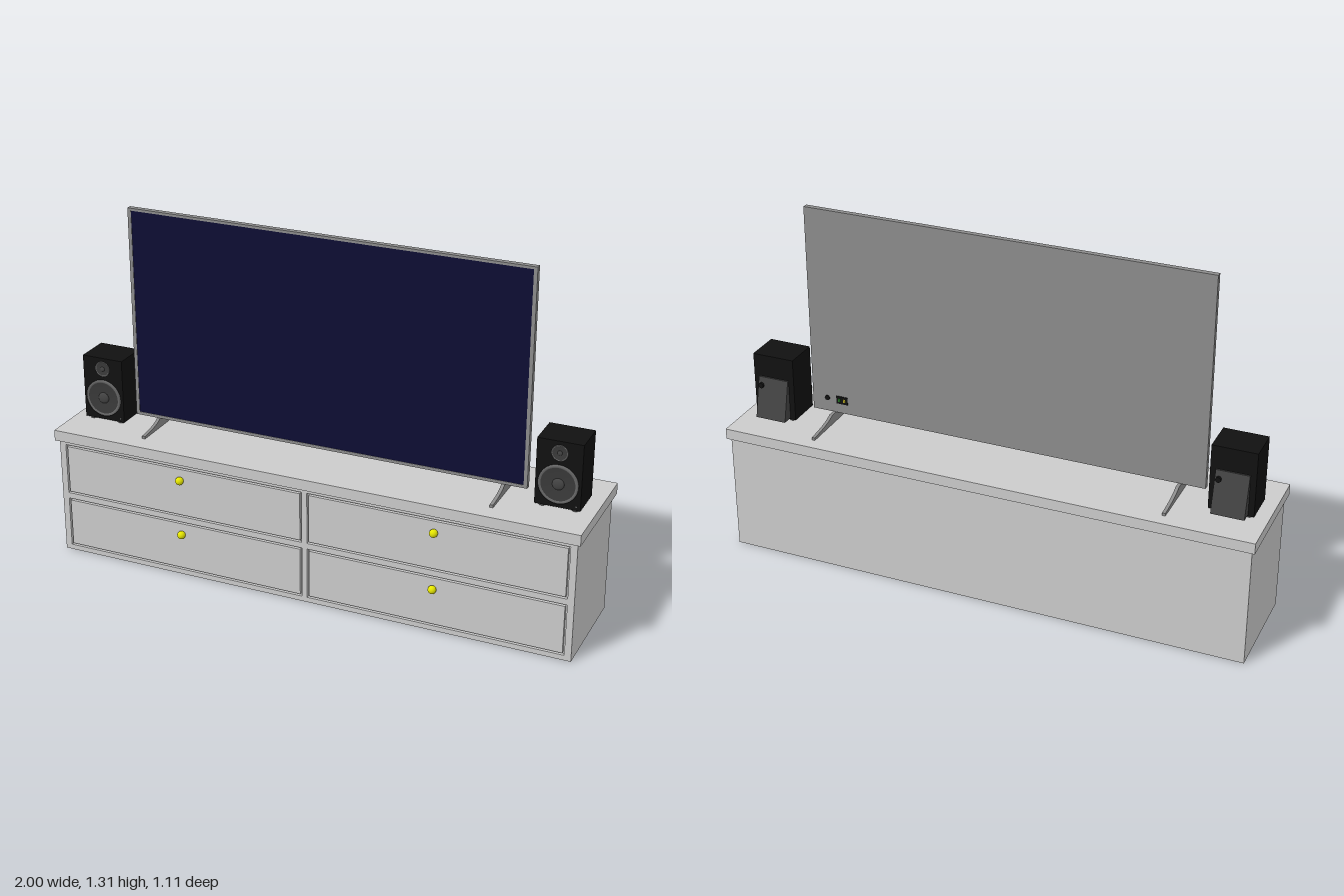
import * as THREE from 'three';

const mat = (color, side = THREE.FrontSide) => new THREE.MeshStandardMaterial({ color, side });

export function createModel() {
  const root = new THREE.Group();
  root.name = 'mediaCabinet';
  root.rotation.y = THREE.MathUtils.degToRad(21.4);

  const grey = mat(0xcccccc), darkGrey = mat(0x8c8c8c), black = mat(0x111111);
  const yellow = mat(0xe6e600), navy = mat(0x0d0d33), charcoal = mat(0x444444);
  const cone = mat(0x3a3a3a, THREE.DoubleSide), rim = mat(0x666666, THREE.DoubleSide);

  const add = (parent, name, geometry, material, x = 0, y = 0, z = 0) => {
    const mesh = new THREE.Mesh(geometry, material);
    mesh.name = name;
    mesh.position.set(x, y, z);
    parent.add(mesh);
    return mesh;
  };
  const box = (parent, name, m, w, h, d, x, y, z) =>
    add(parent, name, new THREE.BoxGeometry(w, h, d), m, x, y, z);

  // Cabinet: carcass, overhanging top and a face frame with drawer openings
  const cabinet = new THREE.Group();
  cabinet.name = 'cabinet';
  root.add(cabinet);
  box(cabinet, 'carcass', grey, 1.958, 0.445, 0.38, 0, 0.2225, -0.006);
  box(cabinet, 'cabinetTop', grey, 1.983, 0.04, 0.42, 0, 0.465, 0);

  const rect = (Type, x0, y0, x1, y1) => {
    const p = new Type();
    p.moveTo(x0, y0);
    p.lineTo(x1, y0);
    p.lineTo(x1, y1);
    p.lineTo(x0, y1);
    p.closePath();
    return p;
  };
  const frame = rect(THREE.Shape, -0.979, 0, 0.979, 0.445);
  const gap = 0.007;
  for (const [x0, x1] of [[-0.955, -0.01], [0.01, 0.955]]) {
    for (const [y0, y1] of [[0.019, 0.212], [0.234, 0.429]]) {
      frame.holes.push(rect(THREE.Path, x0, y0, x1, y1));
      const cx = (x0 + x1) / 2, cy = (y0 + y1) / 2;
      box(cabinet, 'drawerFront', grey, x1 - x0 - 2 * gap, y1 - y0 - 2 * gap, 0.012, cx, cy, 0.19);
      add(cabinet, 'drawerKnob', new THREE.SphereGeometry(0.015, 20, 14), yellow, cx, cy + 0.05, 0.207);
    }
  }
  add(cabinet, 'faceFrame', new THREE.ExtrudeGeometry(frame, { depth: 0.012, bevelEnabled: false }),
    grey, 0, 0, 0.184);

  // Television: thin casing with a raised bezel around the screen
  const tv = new THREE.Group();
  tv.name = 'television';
  tv.position.set(-0.003, 0.9125, 0.017);
  root.add(tv);
  const W = 0.748, H = 0.3925;
  box(tv, 'casing', darkGrey, 2 * W, 2 * H, 0.017, 0, 0, -0.0015);
  const bezel = rect(THREE.Shape, -W, -H, W, H);
  bezel.holes.push(rect(THREE.Path, -W + 0.013, -H + 0.011, W - 0.013, H - 0.009));
  add(tv, 'bezel', new THREE.ExtrudeGeometry(bezel, { depth: 0.003, bevelEnabled: false }),
    darkGrey, 0, 0, 0.007);
  box(tv, 'screen', navy, 2 * W - 0.026, 2 * H - 0.02, 0.001, 0, 0.001, 0.0078);
  const socket = add(tv, 'powerSocket', new THREE.CylinderGeometry(0.01, 0.01, 0.003, 16),
    black, 0.69, -0.34, -0.011);
  socket.rotation.x = Math.PI / 2;
  box(tv, 'portPanel', black, 0.045, 0.03, 0.003, 0.63, -0.34, -0.011);
  for (const [dx, c] of [[-0.01, 0xb0a020], [0.01, 0x207020]])
    box(tv, 'port', mat(c), 0.008, 0.012, 0.003, 0.63 + dx, -0.34, -0.013);

  // Feet: long flat bars sweeping up to the casing
  const foot = new THREE.Shape();
  foot.moveTo(-0.15, 0);
  foot.lineTo(0.15, 0);
  foot.lineTo(0.15, 0.01);
  foot.quadraticCurveTo(0.06, 0.015, 0.035, 0.036);
  foot.lineTo(-0.012, 0.036);
  foot.quadraticCurveTo(-0.05, 0.015, -0.15, 0.01);
  foot.closePath();
  const footGeo = new THREE.ExtrudeGeometry(foot, { depth: 0.012, bevelEnabled: false, curveSegments: 8 });
  footGeo.translate(0, 0, -0.006).rotateY(-Math.PI / 2);
  for (const s of [-1, 1]) add(root, 'televisionFoot', footGeo, darkGrey, s * 0.66, 0.485, -0.009);

  // Speakers: cabinet, two drivers, sloping rear panel and small feet
  const driver = (parent, name, r, y) => {
    const g = new THREE.Group();
    g.name = name;
    g.position.set(0, y, 0.065);
    g.rotation.x = Math.PI / 2;
    parent.add(g);
    const lathe = pts => new THREE.LatheGeometry(pts.map(([a, b]) => new THREE.Vector2(a * r, b * r)), 40);
    add(g, 'driverCone', lathe([[0.3, 0.02], [0.6, 0.04], [0.86, 0.07]]), cone);
    add(g, 'driverRim', lathe([[0.86, 0.07], [0.93, 0.11], [1, 0.08], [1, 0]]), rim);
    const dome = add(g, 'driverDome',
      new THREE.SphereGeometry(0.3 * r, 24, 8, 0, Math.PI * 2, 0, Math.PI / 2), charcoal, 0, 0.02 * r, 0);
    dome.scale.y = 0.4;
  };
  const wedge = new THREE.Shape();
  wedge.moveTo(0, 0.005);
  wedge.lineTo(0.042, 0.005);
  wedge.lineTo(0.006, 0.155);
  wedge.lineTo(0, 0.155);
  wedge.closePath();
  const wedgeGeo = new THREE.ExtrudeGeometry(wedge, { depth: 0.118, bevelEnabled: false });
  wedgeGeo.translate(0, 0, -0.059).rotateY(Math.PI / 2);

  for (const s of [-1, 1]) {
    const sp = new THREE.Group();
    sp.name = s > 0 ? 'leftSpeaker' : 'rightSpeaker';
    sp.position.set(s * 0.863, 0.494, 0);
    root.add(sp);
    box(sp, 'speakerCabinet', black, 0.16, 0.24, 0.13, 0, 0.12, 0);
    driver(sp, 'woofer', 0.07, 0.085);
    driver(sp, 'tweeter', 0.029, 0.198);
    const lamp = add(sp, 'statusLamp', new THREE.CylinderGeometry(0.003, 0.003, 0.003, 12),
      rim, 0.066, 0.014, 0.066);
    lamp.rotation.x = Math.PI / 2;
    add(sp, 'rearPanel', wedgeGeo, charcoal, 0, 0, -0.065);
    const dial = add(sp, 'rearDial', new THREE.CylinderGeometry(0.01, 0.01, 0.016, 16),
      black, 0.045, 0.125, -0.078);
    dial.rotation.x = Math.PI / 2;
    for (const x of [-0.058, 0.058])
      for (const z of [-0.045, 0.045])
        add(sp, 'speakerFoot', new THREE.CylinderGeometry(0.012, 0.012, 0.01, 16), charcoal, x, -0.0045, z);
  }

  // Flip the rear panels so they slope away behind the cabinets
  return root;
}
